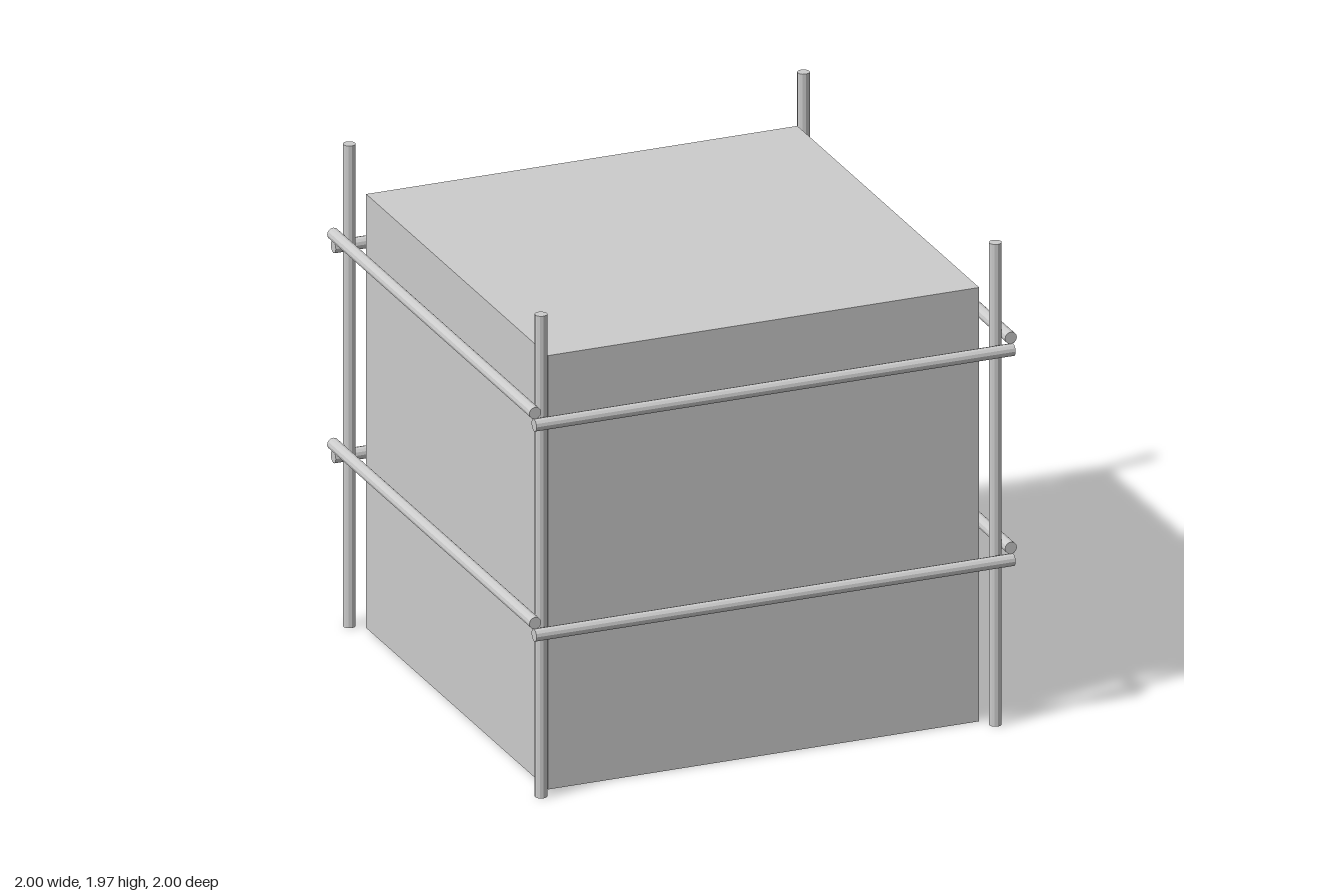
import * as THREE from 'three';

const material = new THREE.MeshStandardMaterial({ color: 0xcccccc, flatShading: true });
const LENGTH = 1.965;
const RADIUS = 0.0245;

// Round bar centred at (x, y, z), lying along the given axis
function bar(name, axis, x, y, z) {
  const geometry = new THREE.CylinderGeometry(RADIUS, RADIUS, LENGTH, 12);
  if (axis === 'x') geometry.rotateZ(Math.PI / 2);
  if (axis === 'z') geometry.rotateX(Math.PI / 2);
  const mesh = new THREE.Mesh(geometry, material);
  mesh.name = name;
  mesh.position.set(x, y, z);
  return mesh;
}

export function createModel() {
  const model = new THREE.Group();
  model.name = 'blockInPoleFrame';

  // Solid block
  const block = new THREE.Mesh(new THREE.BoxGeometry(1.768, 1.768, 1.768), material);
  block.name = 'block';
  block.position.set(0.005, 0.884, -0.01);
  model.add(block);

  // Upright corner posts
  for (const x of [-0.93, 0.933]) {
    for (const z of [-0.938, 0.926]) model.add(bar('cornerPost', 'y', x, LENGTH / 2, z));
  }

  // Two tiers of rails tied outside the posts, side rails resting on the front and back ones
  for (const y of [0.682, 1.538]) {
    for (const side of [-1, 1]) {
      model.add(bar(side > 0 ? 'frontRail' : 'backRail', 'x', 0.003, y, side * 0.9755));
      model.add(bar(side > 0 ? 'leftRail' : 'rightRail', 'z', side * 0.9755, y + 0.049, -0.005));
    }
  }
  return model;
}
